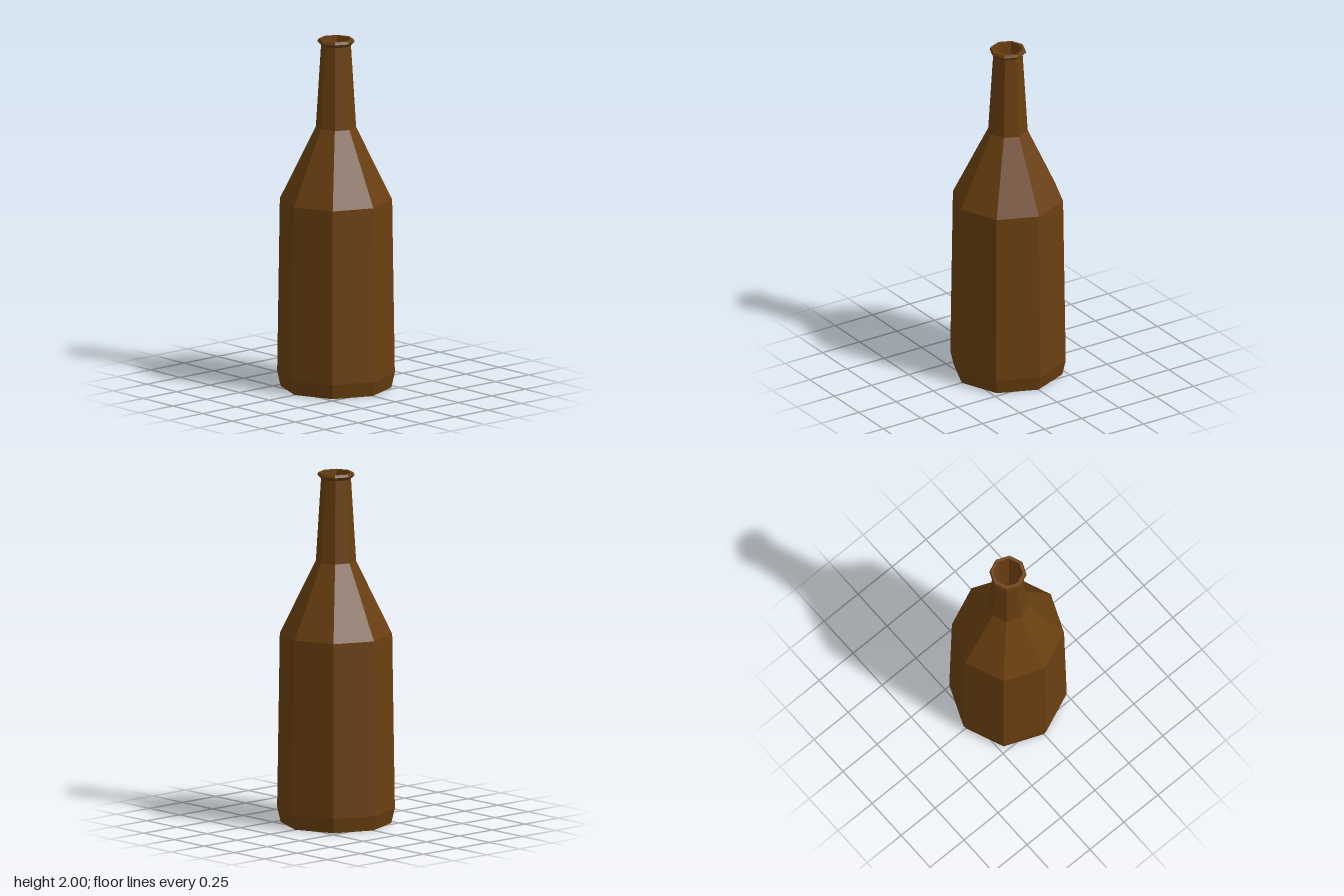
import * as THREE from 'three';

const SIDES = 8;

export function createModel() {
  const group = new THREE.Group();
  group.name = 'bottle';
  const glass = new THREE.MeshStandardMaterial({ color: 0x6a3f10, flatShading: true });

  // Eight-sided turned part from [radius, height] pairs
  function addTurned(name, profile) {
    const points = profile.map(([r, y]) => new THREE.Vector2(r, y));
    const mesh = new THREE.Mesh(new THREE.LatheGeometry(points, SIDES), glass);
    mesh.name = name;
    group.add(mesh);
  }

  // Closed base, chamfered foot and slightly tapered wall
  addTurned('body', [[0, 0], [0.31, 0], [0.33, 0.085], [0.315, 1.08]]);
  addTurned('shoulder', [[0.315, 1.08], [0.113, 1.495]]);
  addTurned('neck', [[0.113, 1.495], [0.084, 1.965]]);

  // Flared rim with a flat top
  addTurned('lip', [[0.084, 1.965], [0.105, 1.985], [0.098, 2], [0.082, 2]]);

  // Tapered hollow inside the neck, closed at its bottom
  addTurned('mouth', [[0.082, 2], [0.055, 1.5], [0, 1.5]]);

  return group;
}
